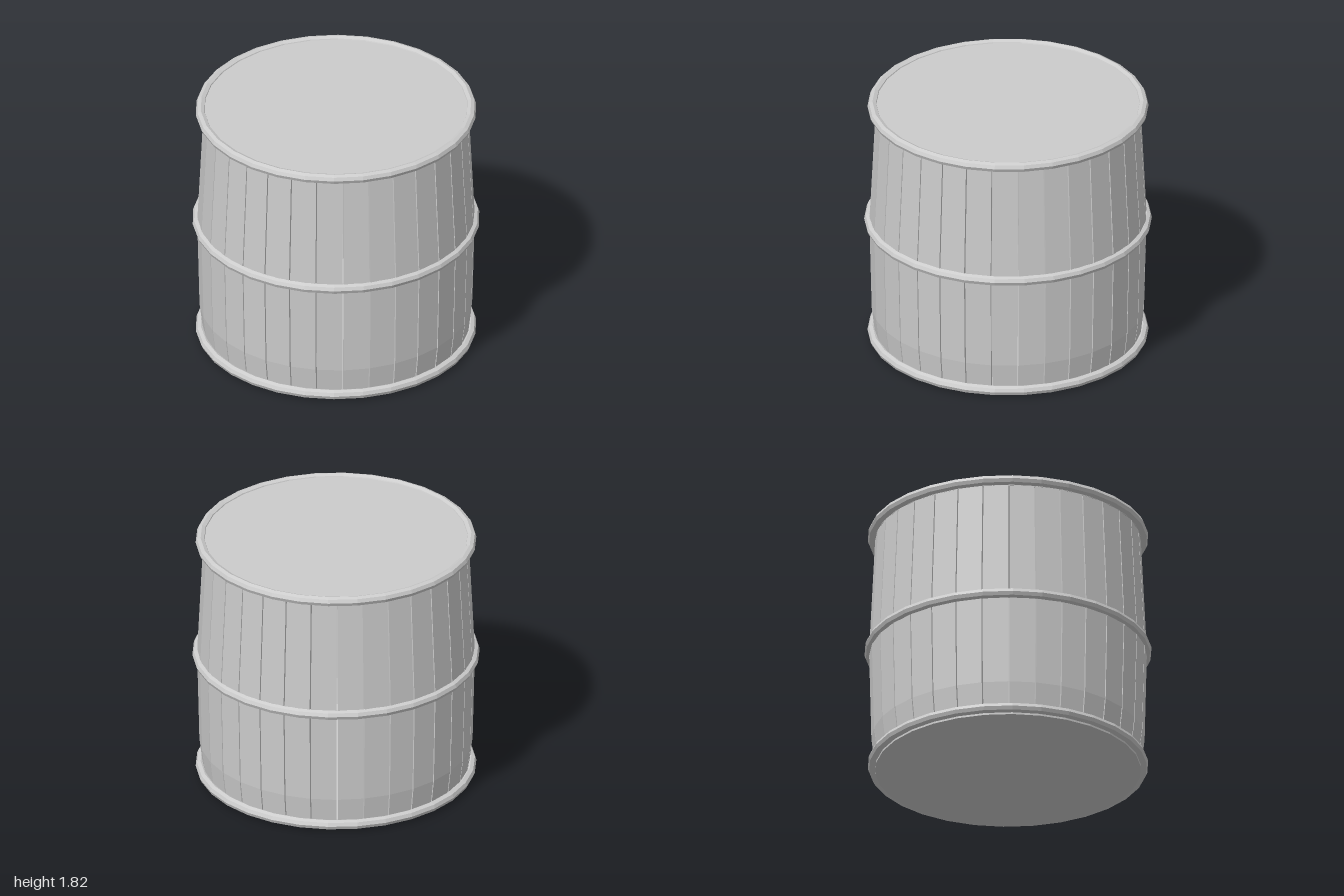
import * as THREE from 'three';

const STAVES = 32;
const RING_SIDES = 30;
// barrel outline as [height, radius to the stave corners]
const PROFILE = [[0.03, 0.925], [0.24, 0.95], [0.91, 0.966], [1.795, 0.922]];

export function createModel() {
  const group = new THREE.Group();
  group.name = 'barrel';
  const grey = new THREE.MeshStandardMaterial({ color: 0xcccccc, flatShading: true });
  grey.name = 'light grey';

  function add(name, geometry, y = 0) {
    const mesh = new THREE.Mesh(geometry, grey);
    mesh.name = name;
    mesh.position.y = y;
    group.add(mesh);
    return mesh;
  }

  // one stave: a thin box bent along the profile, tapering with the radius
  const half = Math.PI / STAVES;
  const gap = 0.008;
  const thickness = 0.05;
  const rows = PROFILE.length - 1;
  const staveGeometry = new THREE.BoxGeometry(1, 1, 1, 1, rows, 1);
  const pos = staveGeometry.attributes.position;
  for (let i = 0; i < pos.count; i++) {
    const [y, r] = PROFILE[Math.round((pos.getY(i) + 0.5) * rows)];
    const z = r * Math.cos(half) - (pos.getZ(i) > 0 ? 0 : thickness);
    const halfWidth = z * Math.tan(half) - gap / 2;
    pos.setXYZ(i, Math.sign(pos.getX(i)) * halfWidth, y, z);
  }
  staveGeometry.computeVertexNormals();

  // staves around the barrel, with a seam facing straight forward
  for (let i = 0; i < STAVES; i++) {
    add('stave', staveGeometry).rotation.y = (2 * i + 1) * half;
  }

  // three hoops
  const hoops = [['bottomHoop', 0.042, 0.942], ['middleHoop', 0.91, 0.965], ['topHoop', 1.787, 0.942]];
  for (const [name, y, radius] of hoops) {
    const geometry = new THREE.TorusGeometry(radius, 0.035, 8, RING_SIDES);
    geometry.rotateX(Math.PI / 2);
    add(name, geometry, y);
  }

  // closed ends, set into the end hoops
  const lidGeometry = new THREE.CylinderGeometry(0.925, 0.925, 0.05, RING_SIDES);
  lidGeometry.rotateY(Math.PI / 2);
  add('topLid', lidGeometry, 1.78);
  add('bottomLid', lidGeometry, 0.025);

  return group;
}
